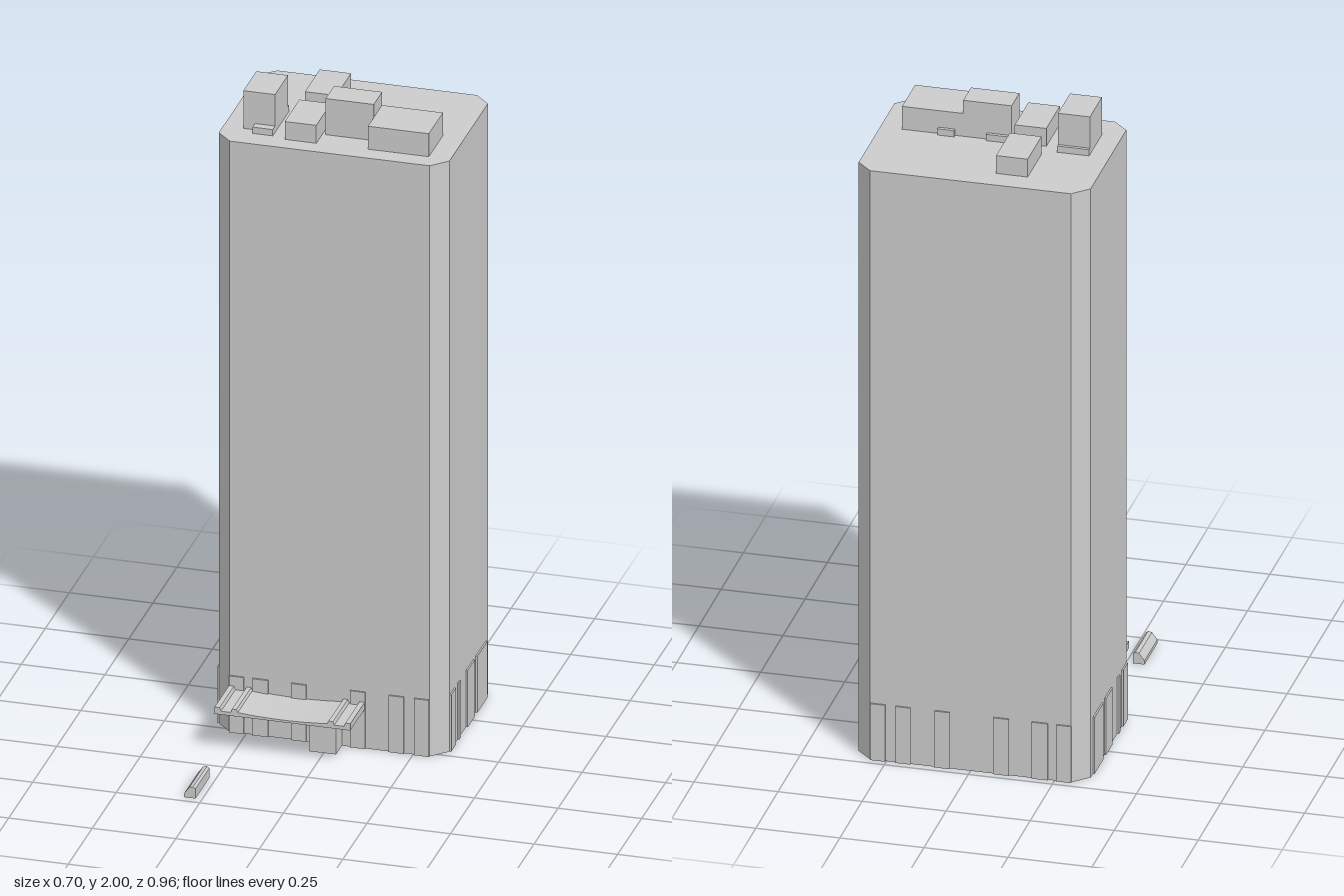
import * as THREE from 'three';

const material = new THREE.MeshStandardMaterial({ color: 0xcccccc, flatShading: true });

export function createModel() {
  const model = new THREE.Group();
  model.name = 'towerBlock';

  const add = (name, geometry) => {
    const mesh = new THREE.Mesh(geometry, material);
    mesh.name = name;
    model.add(mesh);
    return mesh;
  };

  // Box given by its lower and upper limits on each axis
  const box = (name, x0, x1, y0, y1, z0, z1) =>
    add(name, new THREE.BoxGeometry(x1 - x0, y1 - y0, z1 - z0))
      .position.set((x0 + x1) / 2, (y0 + y1) / 2, (z0 + z1) / 2);

  const extrude = (points, depth) => new THREE.ExtrudeGeometry(
    new THREE.Shape(points.map(([x, y]) => new THREE.Vector2(x, y))),
    { depth, bevelEnabled: false });

  // Tower shaft with chamfered corners
  const W = 0.345, back = -0.475, front = 0.018, roof = 1.88, c = 0.046;
  const plan = [
    [-W + c, -front], [W - c, -front], [W, -front + c], [W, -back - c],
    [W - c, -back], [-W + c, -back], [-W, -back - c], [-W, -front + c],
  ];
  add('tower', extrude(plan, roof).rotateX(-Math.PI / 2));

  // Thin panels around the ground floors
  const panelTop = 0.18, t = 0.005;
  for (const [a, b] of [[-0.3, -0.256], [-0.23, -0.183], [-0.115, -0.069],
    [0.062, 0.107], [0.178, 0.223], [0.253, 0.298]]) {
    box('frontPanel', a, b, 0, panelTop, front - t, front + t);
    box('backPanel', a, b, 0, panelTop, back - t, back + t);
  }
  for (const [a, b] of [[-0.405, -0.302], [-0.275, -0.2], [-0.13, -0.113], [-0.08, -0.03]]) {
    for (const s of [-1, 1]) box('sidePanel', s * W - t, s * W + t, 0, panelTop, a, b);
  }

  // Rooftop plant rooms and vents
  box('roofTallHouse', -0.285, -0.19, roof, 2, -0.21, -0.075);
  box('roofStep', -0.25, -0.19, roof, 1.9, -0.075, -0.05);
  box('roofStep', -0.285, -0.19, roof, 1.9, -0.22, -0.21);
  box('roofUnit', -0.15, -0.056, roof, 1.937, -0.4, -0.245);
  box('roofUnit', -0.15, -0.056, roof, 1.937, -0.19, -0.037);
  box('roofLiftHouse', -0.046, 0.098, roof, 1.995, -0.187, -0.1);
  box('roofLongHouse', 0.098, 0.28, roof, 1.953, -0.187, -0.04);
  box('roofVent', -0.046, 0.027, roof, 1.9, -0.198, -0.187);
  box('roofVent', 0.122, 0.172, roof, 1.9, -0.198, -0.187);

  // Entrance canopy: raised ribs at both ends, shallow curved middle
  const half = [[0.203, 0.127], [0.203, 0.149], [0.188, 0.149], [0.184, 0.138],
    [0.155, 0.138], [0.151, 0.149], [0.138, 0.149], [0.134, 0.14]];
  const curve = [];
  for (let i = 1; i < 12; i++) {
    const x = 0.134 - 0.268 * i / 12;
    curve.push([x, 0.134 + 0.006 * (x / 0.134) ** 2]);
  }
  const mirrored = half.map(([x, y]) => [-x, y]).reverse();
  add('canopy', extrude([...half, ...curve, ...mirrored], 0.172 - front))
    .position.set(-0.097, 0, front);

  // Entrance lobby under the canopy
  box('entrance', -0.044, 0.037, 0, 0.09, front, 0.08);

  // Low wedge-sided block on the forecourt
  add('forecourtBlock', extrude([[-0.304, 0], [-0.27, 0], [-0.27, 0.031],
    [-0.277, 0.036], [-0.288, 0.034], [-0.304, 0.012]], 0.145)).position.z = 0.331;

  return model;
}
